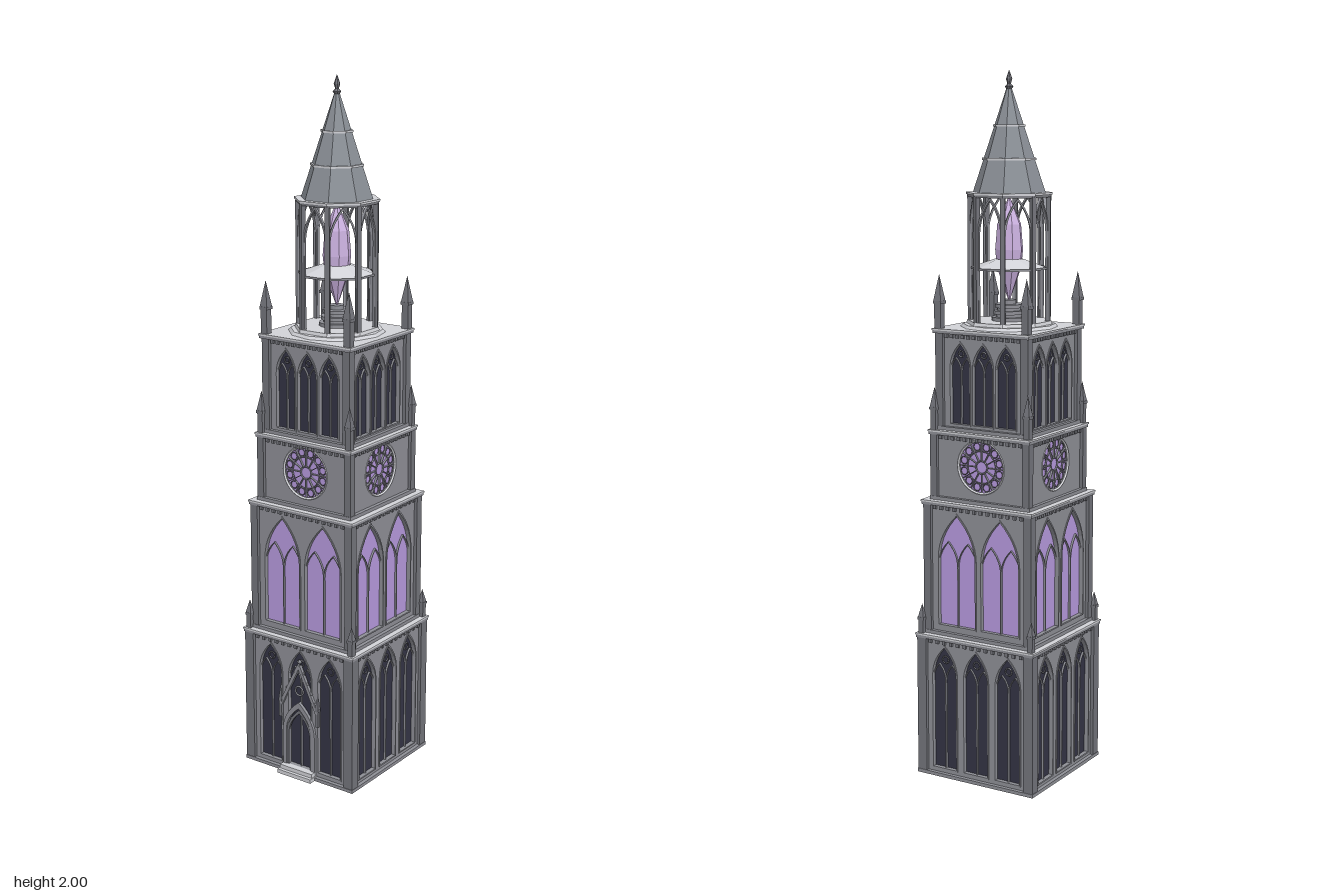
import * as THREE from 'three';

const mat = (name, color) => new THREE.MeshStandardMaterial({ name, color, flatShading: true, side: THREE.DoubleSide });

export function createModel() {
  const stone = mat('stone', 0x8f9097), shade = mat('darkStone', 0x74757c), pale = mat('paleStone', 0xd2d3d8);
  const slate = mat('slate', 0x8b9097), dark = mat('darkGlass', 0x343445);
  const violet = mat('violetGlass', 0xb89be0), lilac = mat('crystalLilac', 0xcdb3e2);
  const root = new THREE.Group();
  root.name = 'tower';
  const tower = new THREE.Group();
  tower.name = 'towerBody';
  tower.position.z = -0.01;
  root.add(tower);

  const add = (parent, name, geo, m, x = 0, y = 0, z = 0) => {
    const mesh = new THREE.Mesh(geo, m);
    mesh.name = name;
    mesh.position.set(x, y, z);
    parent.add(mesh);
    return mesh;
  };
  const box = (parent, name, m, w, h, d, x, y, z) =>
    add(parent, name, new THREE.BoxGeometry(w, h, d), m, x, y + h / 2, z);
  // flat-fronted octagonal drum, sized by its apothem
  const oct = (parent, name, m, top, bottom, y0, y1, open = false) => {
    const k = 1 / Math.cos(Math.PI / 8);
    const g = new THREE.CylinderGeometry(top * k, bottom * k, y1 - y0, 8, 1, open).rotateY(Math.PI / 8);
    return add(parent, name, g, m, 0, (y0 + y1) / 2);
  };
  const extrude = (shape, depth) =>
    new THREE.ExtrudeGeometry(shape, { depth, bevelEnabled: false, curveSegments: 7 });
  const trace = (p, cx, w, y0, spring, top) => {
    const r = w / 2, c = spring + 0.55 * (top - spring);
    p.moveTo(cx - r, y0);
    p.lineTo(cx + r, y0);
    p.lineTo(cx + r, spring);
    p.quadraticCurveTo(cx + r, c, cx, top);
    p.quadraticCurveTo(cx - r, c, cx - r, spring);
    p.lineTo(cx - r, y0);
    return p;
  };
  const archFrame = (cx, w, y0, spring, top, t, depth) => {
    const s = trace(new THREE.Shape(), cx, w, y0, spring, top);
    s.holes.push(trace(new THREE.Path(), cx, w - 2 * t, y0 + t, spring, top - t * 1.6));
    return extrude(s, depth);
  };
  const bar = (parent, name, m, a, b, t, d, z) => {
    const dx = b[0] - a[0], dy = b[1] - a[1];
    const mesh = add(parent, name, new THREE.BoxGeometry(t, Math.hypot(dx, dy), d), m,
      (a[0] + b[0]) / 2, (a[1] + b[1]) / 2, z);
    mesh.rotation.z = Math.atan2(-dx, dy);
  };
  const pinnacle = (parent, x, z, y0, y1, w) => {
    const g = new THREE.Group();
    g.name = 'pinnacle';
    g.position.set(x, 0, z);
    const mid = y0 + (y1 - y0) * 0.5;
    box(g, 'pinnacleShaft', shade, w * 0.8, mid - y0, w * 0.8, 0, y0, 0);
    box(g, 'pinnacleCap', shade, w, 0.008, w, 0, mid - 0.004, 0);
    add(g, 'pinnacleSpire', new THREE.ConeGeometry(w * 0.7, y1 - mid, 4).rotateY(Math.PI / 4), shade, 0, (mid + y1) / 2, 0);
    parent.add(g);
  };

  // pointed window: glass, frame and two inner lights; dark windows get a small ring
  const windowUnit = (side, face, w, m) => {
    const spring = w.top - w.w * 1.05, z = face - 0.01;
    add(side, 'windowGlass', new THREE.ShapeGeometry(trace(new THREE.Shape(), w.x, w.w, w.y0, spring, w.top), 7), m, 0, 0, z);
    add(side, 'windowFrame', archFrame(w.x, w.w, w.y0, spring, w.top, 0.004, 0.013), stone, 0, 0, z);
    for (const s of [-1, 1])
      add(side, 'windowLight', archFrame(w.x + s * w.w / 4, w.w / 2, w.y0, spring - w.w * 0.15, spring + w.w * 0.4, 0.0018, 0.006), stone, 0, 0, z);
    if (m === dark)
      add(side, 'traceryRing', new THREE.TorusGeometry(w.w * 0.12, 0.002, 4, 10), stone, w.x, spring + w.w * 0.55, z + 0.004);
  };

  const roseWindow = (side, face) => {
    const y = 0.915, z = face - 0.005;
    add(side, 'roseGlass', new THREE.CircleGeometry(0.076, 32), violet, 0, y, face - 0.01);
    add(side, 'roseRim', new THREE.TorusGeometry(0.075, 0.004, 4, 32), pale, 0, y, z + 0.003);
    for (const [r, t] of [[0.046, 0.0018], [0.018, 0.0025]])
      add(side, 'roseRing', new THREE.TorusGeometry(r, t, 4, 32), stone, 0, y, z);
    for (let i = 0; i < 12; i++) {
      const a = i * Math.PI / 6, c = Math.cos(a), s = Math.sin(a), b = a + Math.PI / 12;
      bar(side, 'roseSpoke', stone, [0.018 * c, y + 0.018 * s], [0.072 * c, y + 0.072 * s], 0.0025, 0.006, z);
      add(side, 'rosePetal', new THREE.TorusGeometry(0.011, 0.0014, 4, 10), stone, 0.059 * Math.cos(b), y + 0.059 * Math.sin(b), z);
    }
  };

  const row = (xs, w, y0, top) => xs.map(x => ({ x, w, y0, top }));
  const tiers = [
    { y0: 0, y1: 0.42, half: 0.192, cor: 0.196, strip: 0.03, glass: dark, wins: row([-0.105, 0, 0.105], 0.087, 0.02, 0.392) },
    { y0: 0.42, y1: 0.81, half: 0.177, cor: 0.182, strip: 0.024, glass: violet, wins: row([-0.071, 0.071], 0.13, 0.445, 0.778) },
    { y0: 0.81, y1: 1.01, half: 0.162, cor: 0.167, strip: 0.022, rose: true, wins: [] },
    { y0: 1.01, y1: 1.295, half: 0.15, cor: 0.157, strip: 0.024, glass: dark, wins: row([-0.074, 0, 0.074], 0.071, 1.025, 1.262) },
  ];

  // square storeys
  tiers.forEach((t, i) => {
    const g = new THREE.Group();
    g.name = 'storey' + (i + 1);
    tower.add(g);
    const h = t.y1 - t.y0, face = t.half - 0.01, core = face - 0.012;
    box(g, 'core', stone, core * 2, h - 0.002, core * 2, 0, t.y0, 0);
    box(g, 'corniceMoulding', stone, t.cor * 2 - 0.004, 0.008, t.cor * 2 - 0.004, 0, t.y1 - 0.013, 0);
    box(g, 'corniceLedge', pale, t.cor * 2, 0.005, t.cor * 2, 0, t.y1 - 0.005, 0);
    box(g, 'plinth', stone, t.half * 2 + 0.003, 0.01, t.half * 2 + 0.003, 0, t.y0, 0);
    for (let k = 0; k < 4; k++) {
      const side = new THREE.Group();
      side.name = 'facade';
      side.rotation.y = k * Math.PI / 2;
      g.add(side);
      const wall = new THREE.Shape([[-face, t.y0], [face, t.y0], [face, t.y1 - 0.006], [-face, t.y1 - 0.006]].map(p => new THREE.Vector2(...p)));
      for (const w of t.wins) {
        wall.holes.push(trace(new THREE.Path(), w.x, w.w - 0.002, w.y0, w.top - w.w * 1.05, w.top - 0.002));
        windowUnit(side, face, w, t.glass);
      }
      if (t.rose) {
        wall.holes.push(new THREE.Path().absarc(0, 0.915, 0.075, 0, Math.PI * 2, true));
        roseWindow(side, face);
      }
      add(side, 'wall', extrude(wall, 0.012), stone, 0, 0, core);
      const n = 14, span = (t.half - t.strip) * 2;
      for (let j = 0; j < n; j++)
        box(side, 'dentil', shade, 0.009, 0.01, 0.008, (j + 0.5) / n * span - span / 2, t.y1 - 0.025, face + 0.003);
      const sx = t.half - t.strip / 2;
      box(side, 'cornerButtress', shade, t.strip, h - 0.006, t.strip, sx, t.y0, sx);
    }
  });

  // corner pinnacles on the ledges and the top deck
  for (const x of [-1, 1]) for (const z of [-1, 1]) {
    pinnacle(tower, x * 0.181, z * 0.181, 0.42, 0.505, 0.02);
    pinnacle(tower, x * 0.152, z * 0.152, 1.01, 1.13, 0.022);
    pinnacle(tower, x * 0.141, z * 0.141, 1.29, 1.445, 0.026);
  }

  // gabled portal and steps
  const portal = new THREE.Group();
  portal.name = 'portal';
  tower.add(portal);
  box(portal, 'lowerStep', pale, 0.12, 0.012, 0.035, 0, 0, 0.1975);
  box(portal, 'upperStep', pale, 0.114, 0.024, 0.025, 0, 0, 0.1925);
  add(portal, 'portalArch', archFrame(0, 0.114, 0, 0.13, 0.23, 0.012, 0.01), stone, 0, 0, 0.18);
  add(portal, 'innerArch', archFrame(0, 0.09, 0, 0.12, 0.205, 0.007, 0.007), shade, 0, 0, 0.18);
  for (const s of [-1, 1]) {
    bar(portal, 'gableRake', stone, [s * 0.065, 0.21], [0, 0.345], 0.01, 0.01, 0.185);
    pinnacle(portal, s * 0.066, 0.185, 0.17, 0.275, 0.012);
    for (let i = 1; i < 5; i++)
      add(portal, 'crocket', new THREE.OctahedronGeometry(0.006), stone, s * (0.071 - 0.014 * i), 0.21 + 0.028 * i, 0.185);
  }
  add(portal, 'gableFinial', new THREE.OctahedronGeometry(0.009), stone, 0, 0.355, 0.183);
  add(portal, 'gableRing', new THREE.TorusGeometry(0.014, 0.003, 4, 12), stone, 0, 0.265, 0.185);

  // open octagonal lantern
  const lantern = new THREE.Group();
  lantern.name = 'lantern';
  tower.add(lantern);
  add(lantern, 'deckPlate', new THREE.CylinderGeometry(0.13, 0.137, 0.008, 12), pale, 0, 1.299, 0);
  oct(lantern, 'lanternBase', pale, 0.11, 0.114, 1.3, 1.312);
  oct(lantern, 'lanternCornice', stone, 0.11, 0.108, 1.655, 1.662);
  oct(lantern, 'lanternCorniceTop', pale, 0.112, 0.112, 1.662, 1.668);
  oct(lantern, 'galleryRoof', pale, 0.036, 0.1, 1.46, 1.484, true);
  oct(lantern, 'galleryRim', stone, 0.102, 0.102, 1.456, 1.462, true);
  for (let i = 0; i < 8; i++) {
    const bay = new THREE.Group();
    bay.name = 'lanternBay';
    bay.rotation.y = i * Math.PI / 4;
    lantern.add(bay);
    add(bay, 'lanternArch', archFrame(0, 0.08, 1.305, 1.55, 1.655, 0.005, 0.008), stone, 0, 0, 0.096);
    const post = box(bay, 'lanternPost', shade, 0.013, 0.35, 0.013, 0.042, 1.308, 0.102);
    post.rotation.y = Math.PI / 8;
  }

  // crystal on its stepped stand
  [[0.05, 1.31, 1.322], [0.038, 1.322, 1.33], [0.045, 1.33, 1.34], [0.034, 1.34, 1.348], [0.04, 1.348, 1.358], [0.02, 1.358, 1.37]]
    .forEach(([r, a, b]) => add(lantern, 'crystalStand', new THREE.CylinderGeometry(r, r, b - a, 16), stone, 0, (a + b) / 2, 0));
  const profile = [[0, 1.362], [0.035, 1.46], [0.04, 1.51], [0.034, 1.58], [0, 1.66]];
  add(lantern, 'crystal', new THREE.LatheGeometry(profile.map(p => new THREE.Vector2(...p)), 8), lilac);

  // banded spire and finial
  const spire = new THREE.Group();
  spire.name = 'spire';
  tower.add(spire);
  const y0 = 1.668, y1 = 1.95, r0 = 0.094, r1 = 0.007;
  oct(spire, 'spireRoof', slate, r1, r0, y0, y1);
  for (const r of [0.066, 0.038]) {
    const y = y0 + (r0 - r) / (r0 - r1) * (y1 - y0);
    oct(spire, 'spireBand', pale, r + 0.004, r + 0.004, y - 0.003, y + 0.003);
  }
  const tip = [[0.006, 1.945], [0.012, 1.955], [0.005, 1.962], [0.009, 1.975], [0, 2]];
  add(spire, 'finial', new THREE.LatheGeometry(tip.map(p => new THREE.Vector2(...p)), 8), shade);

  return root;
}
